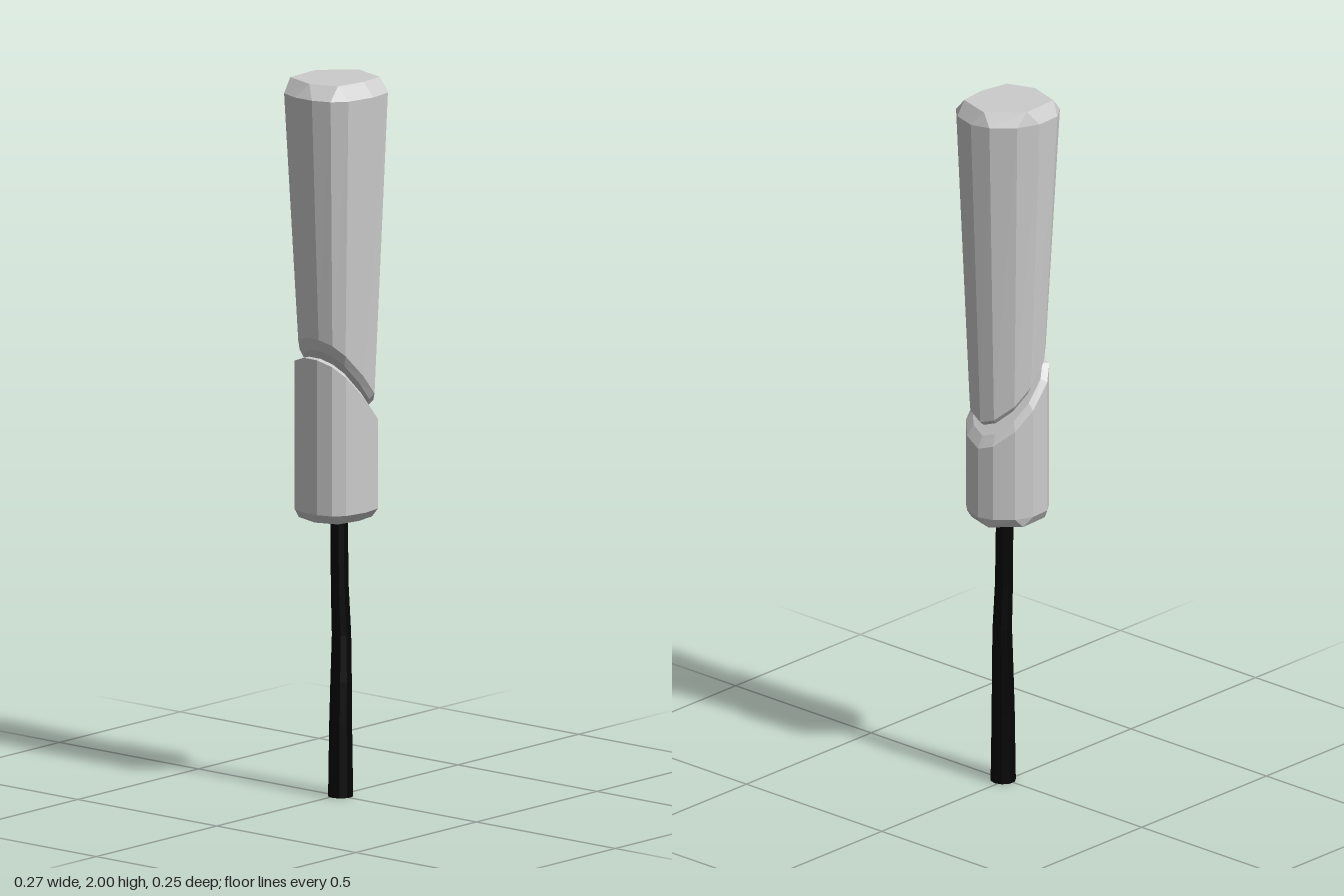
import * as THREE from 'three';

// Faceted outline of the handle at its widest, as [x, z]
const OUTLINE = [
  [0.134, 0.008], [0.113, 0.077], [0.077, 0.115], [0.005, 0.125], [-0.08, 0.109],
  [-0.117, 0.077], [-0.135, 0.025], [-0.135, -0.035], [-0.115, -0.092],
  [-0.07, -0.124], [0.005, -0.128], [0.067, -0.102], [0.118, -0.046],
];
// Seven-cornered end cap; CAP_INDEX says which corner each outline point joins
const CAP = [[0.113, -0.022], [0.083, 0.079], [0.005, 0.09], [-0.082, 0.073],
  [-0.11, -0.005], [-0.08, -0.1], [0.033, -0.106]];
const CAP_INDEX = [0, 1, 1, 2, 3, 3, 4, 4, 5, 5, 6, 6, 0];

// Ring from an outline; height may be a number or a rule of x (slanted cut)
function ring(points, scale, height) {
  return points.map(([x, z]) => {
    const px = x * scale;
    return new THREE.Vector3(px, typeof height === 'function' ? height(px) : height, z * scale);
  });
}

// Closed flat-shaded solid through rings ordered from bottom to top
function loft(rings) {
  const pos = [];
  const tri = (a, b, c) => {
    if (a.distanceTo(b) < 1e-6 || b.distanceTo(c) < 1e-6 || c.distanceTo(a) < 1e-6) return;
    for (const p of [a, b, c]) pos.push(p.x, p.y, p.z);
  };
  const centre = (r) => r.reduce((s, p) => s.add(p), new THREE.Vector3()).divideScalar(r.length);
  const n = rings[0].length;
  const bottom = rings[0], top = rings[rings.length - 1];
  const cb = centre(bottom), ct = centre(top);
  for (let i = 0; i < n; i++) {
    const j = (i + 1) % n;
    for (let k = 0; k < rings.length - 1; k++) {
      const a = rings[k], b = rings[k + 1];
      tri(a[i], b[i], a[j]);
      tri(a[j], b[i], b[j]);
    }
    tri(cb, bottom[i], bottom[j]);
    tri(ct, top[j], top[i]);
  }
  const geo = new THREE.BufferGeometry();
  geo.setAttribute('position', new THREE.Float32BufferAttribute(pos, 3));
  geo.computeVertexNormals();
  return geo;
}

export function createModel() {
  const group = new THREE.Group();
  const grey = new THREE.MeshStandardMaterial({ color: 0xcccccc, flatShading: true });
  const black = new THREE.MeshStandardMaterial({ color: 0x050505, flatShading: true });
  const add = (name, rings, material) => {
    const mesh = new THREE.Mesh(loft(rings), material);
    mesh.name = name;
    group.add(mesh);
  };

  // Tapered upper handle with a slanted, chamfered lower end
  const capPoints = CAP_INDEX.map((i) => CAP[i]);
  add('upperHandle', [
    ring(OUTLINE, 0.63, (x) => 1.16 - 1.1 * x),
    ring(OUTLINE, 0.735, (x) => 1.183 - 1.06 * x),
    ring(OUTLINE, 1, 1.962),
    ring(capPoints, 1, 2),
  ], grey);

  // Straight lower handle, cut to match the upper one
  add('lowerHandle', [
    ring(capPoints, 0.82, 0.775),
    ring(OUTLINE, 0.8, 0.802),
    ring(OUTLINE, 0.8, (x) => 1.118 - 1.07 * x),
    ring(OUTLINE, 0.67, (x) => 1.135 - 1.1 * x),
  ], grey);

  // Slightly wavy stem, widening toward its foot: [y, centre x, centre z, radius]
  const stem = [
    [0, 0.003, 0.009, 0.035], [0.2, 0.003, 0.009, 0.032], [0.32, 0.005, 0.009, 0.03],
    [0.45, 0.009, 0.007, 0.027], [0.58, 0.003, 0.006, 0.025], [0.8, 0.001, 0.005, 0.024],
  ];
  add('stem', stem.map(([y, cx, cz, r]) => Array.from({ length: 10 }, (_, i) => {
    const a = (i / 10) * Math.PI * 2;
    return new THREE.Vector3(cx + r * Math.cos(a), y, cz + r * Math.sin(a));
  })), black);

  return group;
}
